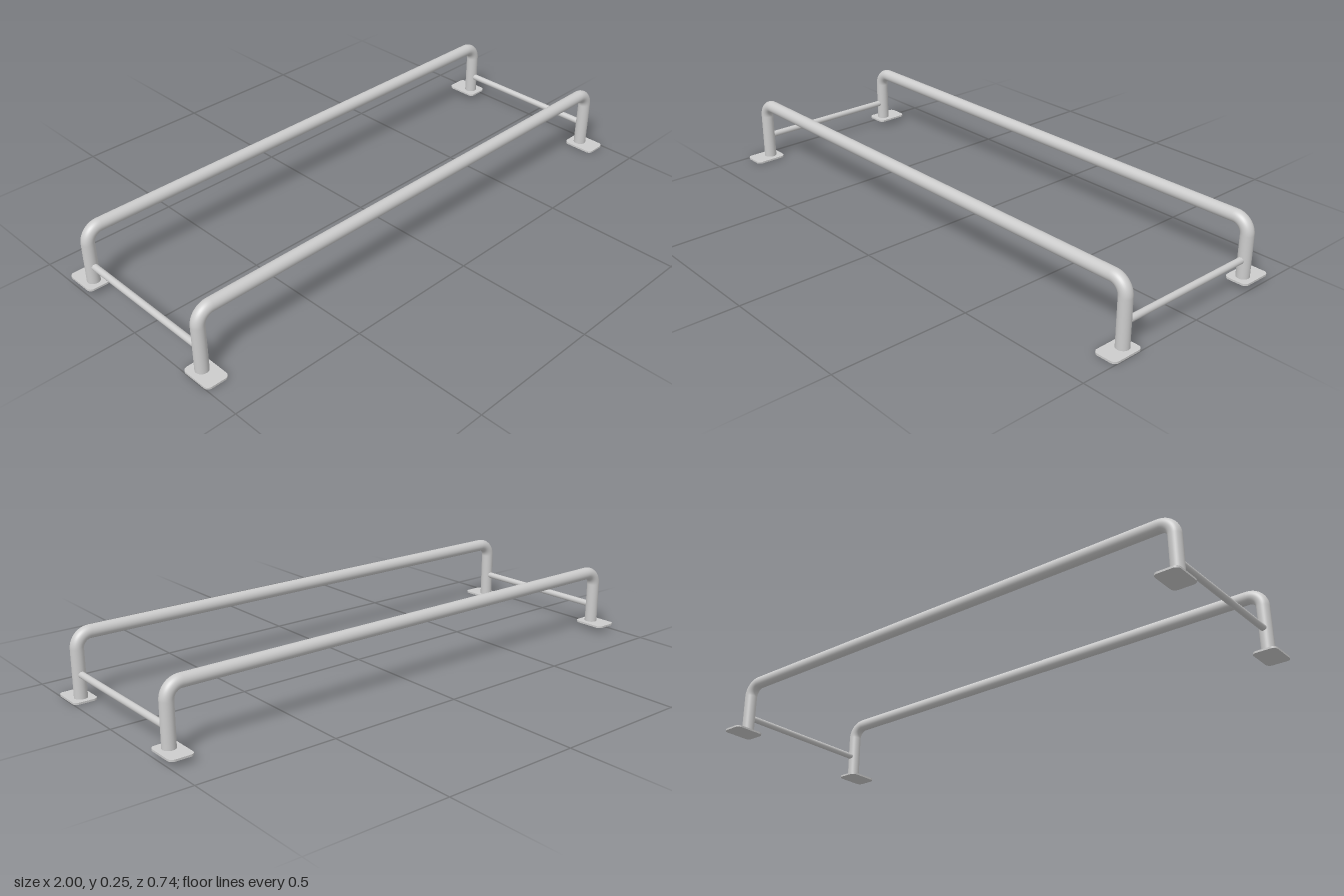
import * as THREE from 'three';

const LEG_X = 0.957, RAIL_Z = 0.289, RAIL_Y = 0.23;
const PIPE_R = 0.023, BEND_R = 0.05, SIDES = 32;
const PLATE = { w: 0.086, d: 0.123, h: 0.007, r: 0.018 };

const material = new THREE.MeshStandardMaterial({ color: 0xcccccc });

function addMesh(parent, name, geometry, x, y, z) {
  const mesh = new THREE.Mesh(geometry, material);
  mesh.name = name;
  mesh.position.set(x, y, z);
  parent.add(mesh);
  return mesh;
}

// Flat foot plate with rounded corners, resting on y = 0
function plateGeometry() {
  const { w, d, h, r } = PLATE;
  const a = w / 2, b = d / 2;
  const s = new THREE.Shape();
  s.absarc(a - r, b - r, r, 0, Math.PI / 2);
  s.absarc(-a + r, b - r, r, Math.PI / 2, Math.PI);
  s.absarc(-a + r, -b + r, r, Math.PI, Math.PI * 1.5);
  s.absarc(a - r, -b + r, r, Math.PI * 1.5, Math.PI * 2);
  s.closePath();
  const g = new THREE.ExtrudeGeometry(s, { depth: h, bevelEnabled: false, curveSegments: 8 });
  return g.rotateX(-Math.PI / 2);
}

// One bent rail with two legs on foot plates; side is +1 front, -1 back
function makeHoop(name, side, baseY) {
  const hoop = new THREE.Group();
  hoop.name = name;
  const z = side * RAIL_Z;
  const straight = LEG_X - BEND_R, bendY = RAIL_Y - BEND_R;
  const legBottom = baseY + PLATE.h / 2, legLength = bendY - legBottom;

  const rail = new THREE.CylinderGeometry(PIPE_R, PIPE_R, 2 * straight, SIDES, 1, true);
  addMesh(hoop, 'topRail', rail.rotateZ(Math.PI / 2), 0, RAIL_Y, z);

  for (const sx of [1, -1]) {
    const end = sx > 0 ? 'left' : 'right';
    const bend = new THREE.TorusGeometry(BEND_R, PIPE_R, SIDES, 16, Math.PI / 2);
    if (sx < 0) bend.rotateZ(Math.PI / 2);
    addMesh(hoop, end + 'Bend', bend, sx * straight, bendY, z);

    const leg = new THREE.CylinderGeometry(PIPE_R, PIPE_R, legLength, SIDES, 1, true);
    addMesh(hoop, end + 'Leg', leg, sx * LEG_X, legBottom + legLength / 2, z);

    // plates reach outward from the legs
    addMesh(hoop, end + 'FootPlate', plateGeometry(), sx * LEG_X, baseY, side * 0.3085);
  }
  return hoop;
}

export function createModel() {
  const model = new THREE.Group();
  model.name = 'doubleRail';

  // The back hoop has shorter legs
  model.add(makeHoop('frontHoop', 1, 0.002), makeHoop('backHoop', -1, 0.022));
  model.children[0].position.y = -0.002 + 0.002;

  // Thin crossbars joining the legs at each end
  for (const sx of [1, -1]) {
    const bar = new THREE.CylinderGeometry(0.0118, 0.0118, 2 * (RAIL_Z - 0.012), 24);
    addMesh(model, sx > 0 ? 'leftCrossbar' : 'rightCrossbar', bar.rotateX(Math.PI / 2), sx * LEG_X, 0.094, 0);
  }
  return model;
}
